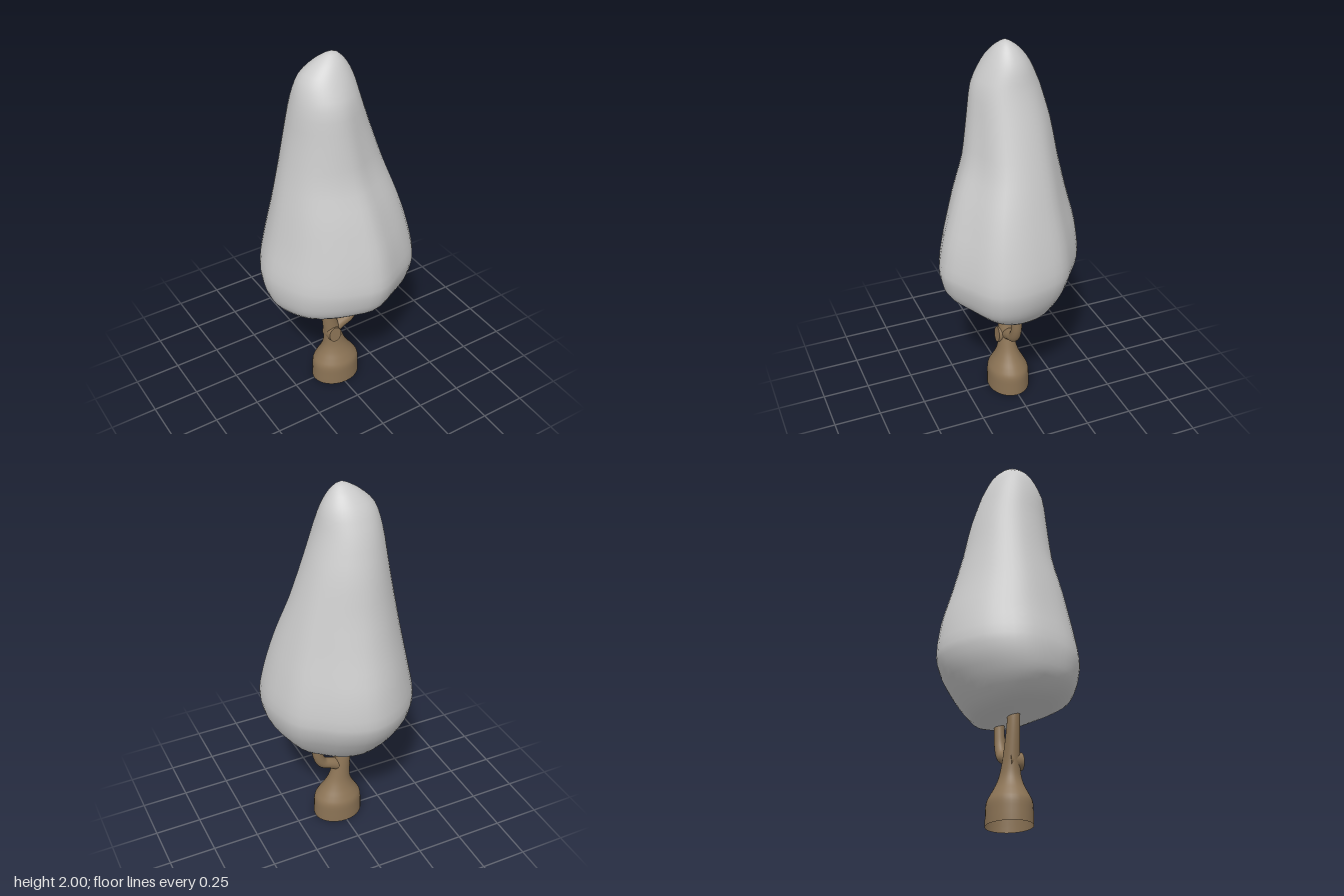
import * as THREE from 'three';
import { mergeVertices } from 'three/addons/utils/BufferGeometryUtils.js';

const V = (x, y, z) => new THREE.Vector3(x, y, z);

// Loft closed rings of points into a smooth solid with a point at each end.
function loft(rings, bottom, top) {
  const n = rings[0].length, pos = [], idx = [];
  rings.forEach((ring) => ring.forEach((p) => pos.push(p.x, p.y, p.z)));
  const b = rings.length * n, t = b + 1;
  pos.push(bottom.x, bottom.y, bottom.z, top.x, top.y, top.z);
  for (let i = 0; i < n; i++) {
    const j = (i + 1) % n;
    idx.push(b, i, j, t, (rings.length - 1) * n + j, (rings.length - 1) * n + i);
    for (let k = 0; k < rings.length - 1; k++) {
      const a = k * n, c = a + n;
      idx.push(a + i, c + i, a + j, a + j, c + i, c + j);
    }
  }
  const g = new THREE.BufferGeometry();
  g.setAttribute('position', new THREE.Float32BufferAttribute(pos, 3));
  g.setIndex(idx);
  g.computeVertexNormals();
  return g;
}

// Irregular outline of the crown at its widest, as x, z pairs.
const OUTLINE = [
  [0.39, 0.09], [0.36, 0.21], [0.2, 0.32], [0.05, 0.39], [-0.08, 0.36], [-0.2, 0.305],
  [-0.3, 0.22], [-0.36, 0.1], [-0.39, -0.05], [-0.34, -0.19], [-0.26, -0.285], [-0.15, -0.36],
  [-0.02, -0.39], [0.12, -0.345], [0.22, -0.27], [0.32, -0.18], [0.37, -0.05],
].map(([x, z]) => V(x, 0, z));

// Crown levels: height, left and right x, back and front z, slope along z, groove depth.
const LEVELS = [
  [0.54, -0.15, 0.2, -0.12, 0.14, 0.25, 0],
  [0.57, -0.28, 0.275, -0.21, 0.25, 0.15, 0],
  [0.645, -0.355, 0.34, -0.29, 0.335, 0.06, 0],
  [0.73, -0.385, 0.375, -0.355, 0.37, 0, 0],
  [0.83, -0.39, 0.39, -0.385, 0.387, 0, 0],
  [1.0, -0.355, 0.36, -0.365, 0.36, 0, 0.01],
  [1.2, -0.315, 0.305, -0.31, 0.305, 0, 0.04],
  [1.4, -0.275, 0.24, -0.26, 0.235, 0, 0.07],
  [1.6, -0.24, 0.175, -0.22, 0.2, 0, 0.07],
  [1.77, -0.215, 0.12, -0.17, 0.17, 0, 0.04],
  [1.88, -0.18, 0.09, -0.12, 0.115, 0, 0],
  [1.95, -0.11, 0.05, -0.065, 0.07, 0, 0],
  [1.985, -0.055, 0.015, -0.02, 0.035, 0, 0],
];

function crownGeometry() {
  const outline = new THREE.CatmullRomCurve3(OUTLINE, true).getSpacedPoints(48).slice(0, 48);
  // Spline through the levels gives smooth in-between rings.
  const part = (a, b, c) => new THREE.CatmullRomCurve3(LEVELS.map((l) => V(l[a], l[b], l[c])));
  const p = part(0, 1, 2), q = part(3, 4, 5), count = 36, rings = [];
  for (let k = 0; k <= count; k++) {
    const u = k / count;
    const A = p.getPoint(u), B = q.getPoint(u);
    const f = u * (LEVELS.length - 1), i = Math.min(Math.floor(f), LEVELS.length - 2);
    const groove = THREE.MathUtils.lerp(LEVELS[i][6], LEVELS[i + 1][6], f - i);
    const round = THREE.MathUtils.smoothstep(A.x, 1.0, 1.9);
    rings.push(outline.map((o) => {
      const ang = Math.atan2(o.z, o.x);
      let x = THREE.MathUtils.lerp(o.x / 0.39, Math.cos(ang), round);
      let z = THREE.MathUtils.lerp(o.z / 0.39, Math.sin(ang), round);
      const dent = 1 - groove * Math.exp(-(((ang - 1.2) / 0.4) ** 2));
      x = (A.y + A.z) / 2 + x * dent * (A.z - A.y) / 2;
      z = (B.x + B.y) / 2 + z * dent * (B.y - B.x) / 2;
      return V(x, A.x + B.z * z, z);
    }));
  }
  return loft(rings, V(0.04, 0.525, -0.03), V(-0.02, 2, 0.01));
}

// Round limb along a smooth path, with radius changing from r0 to r1 and closed ends.
function limb(points, r0, r1) {
  const curve = new THREE.CatmullRomCurve3(points.map((a) => V(...a)));
  const n = 24, sides = 16, frames = curve.computeFrenetFrames(n), rings = [];
  for (let k = 0; k <= n; k++) {
    const c = curve.getPointAt(k / n), r = THREE.MathUtils.lerp(r0, r1, k / n);
    rings.push(Array.from({ length: sides }, (_, i) => {
      const a = (i / sides) * Math.PI * 2;
      return c.clone().addScaledVector(frames.normals[k], Math.cos(a) * r)
        .addScaledVector(frames.binormals[k], -Math.sin(a) * r);
    }));
  }
  return loft(rings, curve.getPointAt(0), curve.getPointAt(1));
}

export function createModel() {
  const group = new THREE.Group();
  const foliage = new THREE.MeshStandardMaterial({ color: 0xcccccc });
  foliage.name = 'pale grey foliage';
  const bark = new THREE.MeshStandardMaterial({ color: 0x8b7355, side: THREE.DoubleSide });
  bark.name = 'brown bark';
  const add = (name, geometry, material) => {
    const mesh = new THREE.Mesh(geometry, material);
    mesh.name = name;
    group.add(mesh);
    return mesh;
  };

  add('crown', crownGeometry(), foliage);

  // Flared trunk, open below, slightly oval at the foot and leaning as it rises
  const profile = new THREE.SplineCurve([
    [0.137, 0], [0.136, 0.05], [0.132, 0.11], [0.111, 0.15], [0.085, 0.19], [0.064, 0.235], [0.052, 0.29],
    [0.045, 0.35], [0.037, 0.45], [0.032, 0.56],
  ].map(([r, y]) => new THREE.Vector2(r, y)));
  const trunk = mergeVertices(new THREE.LatheGeometry(profile.getPoints(32), 32).deleteAttribute('normal').deleteAttribute('uv'));
  const pos = trunk.attributes.position;
  for (let i = 0; i < pos.count; i++) {
    const y = pos.getY(i), lean = THREE.MathUtils.smoothstep(y, 0.12, 0.56);
    const oval = THREE.MathUtils.lerp(0.83, 0.95, lean);
    pos.setXYZ(i, pos.getX(i) + 0.005 - 0.055 * lean, y, pos.getZ(i) * oval + 0.007);
  }
  trunk.computeVertexNormals();
  add('trunk', trunk, bark);

  // Side branch bending up into the crown
  add('sideBranch', limb([
    [-0.03, 0.31, 0.007], [0.04, 0.345, 0.007], [0.095, 0.37, 0.007], [0.122, 0.425, 0.006], [0.13, 0.5, 0.005], [0.132, 0.57, 0.005],
  ], 0.034, 0.025), bark);

  // Short sawn-off stub on the front
  const stub = add('branchStub', new THREE.CylinderGeometry(0.037, 0.042, 0.07, 20), bark);
  stub.scale.z = 1.2;
  stub.rotation.x = Math.PI / 2 - 0.1;
  stub.position.set(-0.025, 0.313, 0.024);

  return group;
}
